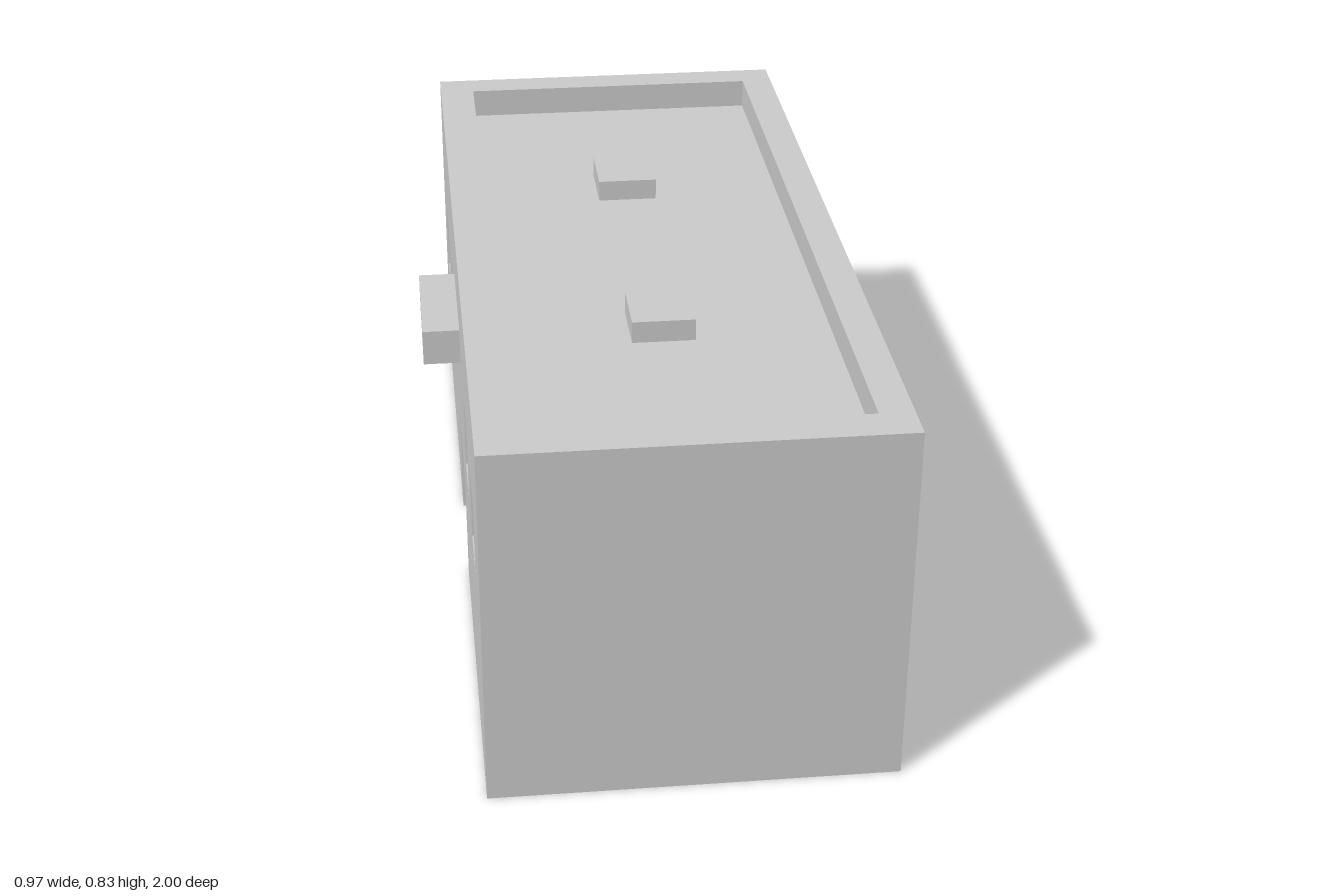
import * as THREE from 'three';

export function createModel() {
  const model = new THREE.Group();
  const grey = new THREE.MeshStandardMaterial({ color: 0xcccccc, flatShading: true });
  const thin = new THREE.MeshStandardMaterial({ color: 0xcccccc, side: THREE.DoubleSide });

  const add = (name, geometry, material = grey) => {
    const mesh = new THREE.Mesh(geometry, material);
    mesh.name = name;
    model.add(mesh);
    return mesh;
  };
  // Box given by its limits on each axis
  const box = (name, x0, x1, y0, y1, z0, z1) =>
    add(name, new THREE.BoxGeometry(x1 - x0, y1 - y0, z1 - z0)
      .translate((x0 + x1) / 2, (y0 + y1) / 2, (z0 + z1) / 2));
  const points = (list) => list.map(([x, y]) => new THREE.Vector2(x, y));

  const X0 = -0.4, X1 = 0.485, H = 0.835, WALL = 0.085;
  const IN0 = X0 + WALL, IN1 = X1 - 0.075;
  const DECK = 0.765, Z0 = -0.92, Z1 = 0.915;
  const doorZ0 = -0.18, doorZ1 = 0.12, doorTop = 0.26;

  // Entrance wall: outline notched by the doorway, pierced by windows
  const wall = new THREE.Shape(points([
    [-1, 0], [doorZ0, 0], [doorZ0, doorTop], [doorZ1, doorTop],
    [doorZ1, 0], [1, 0], [1, H], [-1, H],
  ]));
  for (const z of [-0.79, -0.48, 0.28, 0.59]) {
    wall.holes.push(new THREE.Path(points([
      [z, 0.395], [z, 0.568], [z + 0.152, 0.568], [z + 0.152, 0.395],
    ])));
  }
  const entrance = add('entranceWall',
    new THREE.ExtrudeGeometry(wall, { depth: WALL, bevelEnabled: false }));
  entrance.rotation.y = -Math.PI / 2;
  entrance.position.x = IN0;

  // Lining closes the backs of the window and door recesses
  box('recessLining', IN0, IN0 + 0.005, 0, DECK - 0.01, Z0, Z1);

  // Remaining walls, rising above the deck as a parapet
  box('plainWall', IN1, X1, 0, H, -1, 1);
  box('frontWall', IN0, IN1, 0, H, Z1, 1);
  box('backWall', IN0, IN1, 0, H, -1, Z0);

  // Sunken roof deck with two rooftop units
  box('roofDeck', IN0, IN1, DECK - 0.02, DECK, Z0, Z1);
  for (const z of [-0.41, 0.352]) {
    box('rooftopUnit', -0.033, 0.107, DECK, DECK + 0.05, z - 0.077, z + 0.077);
  }

  // Floor with the opening behind the doorway
  const floor = new THREE.Shape(points([[IN0, Z0], [IN1, Z0], [IN1, Z1], [IN0, Z1],
    [IN0, doorZ1], [-0.03, doorZ1], [-0.03, doorZ0], [IN0, doorZ0]]));
  add('floor', new THREE.ShapeGeometry(floor).rotateX(Math.PI / 2), thin);

  // Projecting block above the door
  box('signBlock', -0.485, X0, 0.573, 0.657, doorZ0, doorZ1);

  return model;
}
